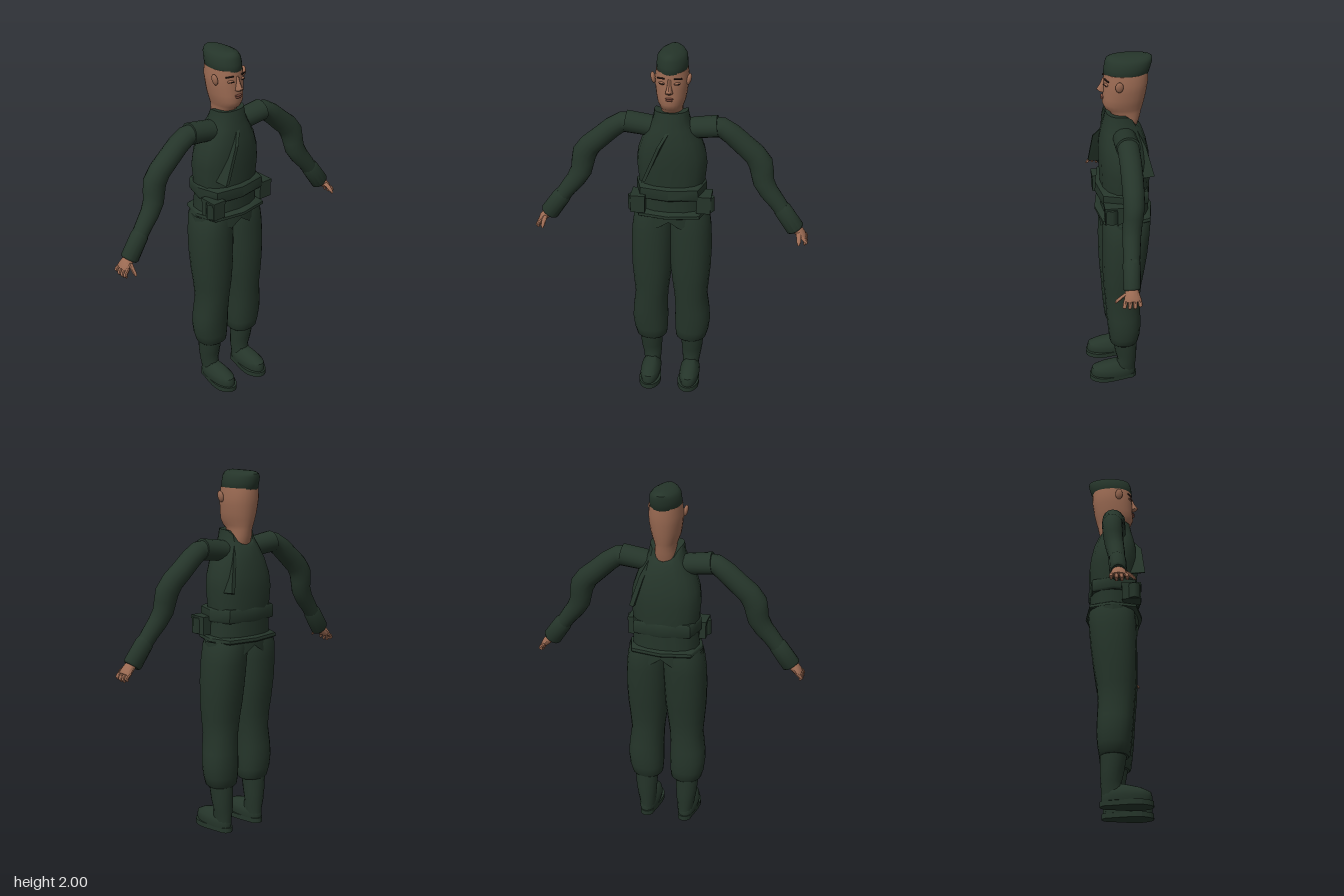
import * as THREE from 'three';
import { toCreasedNormals } from 'three/addons/utils/BufferGeometryUtils.js';

const mat = (name, color, side = THREE.FrontSide) => {
  const m = new THREE.MeshStandardMaterial({ color, side });
  m.name = name;
  return m;
};

// Skin a list of rings (equal point counts) into a closed surface
function skin(rings, capped = true, crease = 0.75) {
  const n = rings[0].length, pos = [], idx = [];
  rings.forEach(r => r.forEach(p => pos.push(p.x, p.y, p.z)));
  for (let i = 0; i < rings.length - 1; i++)
    for (let j = 0; j < n; j++) {
      const a = i * n + j, b = i * n + (j + 1) % n;
      idx.push(a, b, b + n, a, b + n, a + n);
    }
  if (capped)
    [0, rings.length - 1].forEach((r, end) => {
      const c = rings[r].reduce((s, p) => s.add(p), new THREE.Vector3()).divideScalar(n);
      const k = pos.length / 3;
      pos.push(c.x, c.y, c.z);
      for (let j = 0; j < n; j++) {
        const a = r * n + j, b = r * n + (j + 1) % n;
        end ? idx.push(k, a, b) : idx.push(k, b, a);
      }
    });
  const g = new THREE.BufferGeometry();
  g.setAttribute('position', new THREE.Float32BufferAttribute(pos, 3));
  g.setIndex(idx);
  return toCreasedNormals(g, crease);
}

// Upright body from sections [y, xMin, xMax, zFront, zBack, backDip], bottom to top
function body(sections, n = 24, power = 1, capped = true) {
  const f = v => Math.sign(v) * Math.abs(v) ** power;
  return skin(sections.map(([y, x0, x1, zf, zb, dip = 0]) =>
    Array.from({ length: n }, (_, j) => {
      const a = j / n * Math.PI * 2, c = Math.cos(a);
      return new THREE.Vector3((x0 + x1) / 2 + (x1 - x0) / 2 * f(Math.sin(a)),
        y - dip * Math.max(0, -c) ** 3, (zf + zb) / 2 + (zf - zb) / 2 * f(c));
    })), capped);
}
const round = (list, n, power) =>
  body(list.map(([y, r, ...z]) => [y, -r, r, ...z]), n, power);
const sided = (s, list, n, power) =>
  body(list.map(([y, a, b, ...z]) => s > 0 ? [y, a, b, ...z] : [y, -b, -a, ...z]), n, power);

// Limb along points [x, y, z, radius, depthRadius]
function limb(s, pts, n = 16) {
  const P = pts.map(p => new THREE.Vector3(p[0] * s, p[1], p[2]));
  const v = new THREE.Vector3(0, 0, 1);
  return skin(P.map((p, i) => {
    const d = P[Math.min(i + 1, P.length - 1)].clone().sub(P[Math.max(i - 1, 0)]).setZ(0).normalize();
    const u = v.clone().cross(d), r = pts[i][3], rz = pts[i][4] ?? r;
    return Array.from({ length: n }, (_, j) => {
      const a = j / n * Math.PI * 2;
      return p.clone().addScaledVector(u, r * Math.cos(a)).addScaledVector(v, rz * Math.sin(a));
    });
  }));
}

export function createModel() {
  const root = new THREE.Group();
  const cloth = mat('uniformGreen', 0x25352a);
  const clothOpen = mat('uniformGreenOpen', 0x25352a, THREE.DoubleSide);
  const flesh = mat('skin', 0x9c6b53);
  const lipTone = mat('lips', 0x7e4c3e);
  const dark = mat('browDark', 0x2a1c17);
  const add = (name, geo, m, x = 0, y = 0, z = 0) => {
    const o = new THREE.Mesh(geo, m);
    o.name = name;
    o.position.set(x, y, z);
    root.add(o);
    return o;
  };

  // Jacket, belt and hem
  add('jacket', round([[1.1, .185, .095, -.16], [1.2, .178, .095, -.16], [1.28, .18, .1, -.163],
    [1.38, .19, .105, -.167], [1.45, .182, .107, -.16], [1.53, .155, .103, -.143],
    [1.595, .118, .09, -.12], [1.64, .097, .078, -.105, .03], [1.69, .09, .067, -.085, .08]], 16, .85), cloth);
  add('belt', round([[1.205, .185, .118, -.163], [1.215, .192, .127, -.168],
    [1.27, .19, .125, -.168], [1.28, .18, .112, -.163]], 8, .6), cloth);
  add('hem', round([[1.095, .197, .118, -.175], [1.102, .203, .13, -.182],
    [1.118, .2, .13, -.18], [1.128, .185, .105, -.165]], 8, .6), cloth);

  // Pointed jacket skirt below the hem
  const skirt = [1, 0].map(top => Array.from({ length: 20 }, (_, j) => {
    const a = j / 20 * Math.PI * 2, k = top ? 1 : 0;
    return new THREE.Vector3(.208 * Math.sin(a), k ? 1.1 : (j % 2 ? 1.03 : 1.075), -.028 + .138 * Math.cos(a));
  }));
  add('jacketSkirt', skin([skirt[1], skirt[0]], false, .3), clothOpen);

  // Diagonal flaps, one on the chest and one on the back
  const flap = (name, a, b, c, d) => {
    const off = new THREE.Vector3(.022, .008, 0);
    const edge = [a, b, c, d].map(p => new THREE.Vector3(...p));
    add(name, skin([edge, edge.map(p => p.clone().add(off))], true, .2), clothOpen);
  };
  flap('chestFlap', [-.01, 1.6, .08], [-.06, 1.52, .13], [-.14, 1.325, .15], [-.14, 1.32, .05]);
  flap('backFlap', [.06, 1.6, -.09], [.1, 1.52, -.13], [.145, 1.37, -.17], [.145, 1.36, -.09]);

  // Belt pouches
  [[-.165, .075], [.185, .045]].forEach(([x, z]) => {
    const s = Math.sign(x);
    add('pouch', new THREE.BoxGeometry(.075, .095, .1), cloth, x, 1.18, z);
    const p = add('pouchEnd', new THREE.CylinderGeometry(.034, .034, .085, 6), cloth, x + s * .022, 1.18, z + .015);
    p.rotation.y = Math.PI / 6;
    add('pouchLid', new THREE.BoxGeometry(.08, .02, .106), cloth, x, 1.222, z);
  });

  for (const s of [1, -1]) {
    const side = s > 0 ? 'left' : 'right';

    // Trousers bloused over the boots
    add(side + 'Trouser', sided(s, [[.27, .035, .19, .055, -.09], [.28, .027, .2, .064, -.098],
      [.33, .022, .214, .07, -.107], [.4, .02, .222, .077, -.112], [.47, .022, .217, .082, -.11],
      [.57, .018, .204, .088, -.106], [.66, .006, .212, .096, -.113], [.75, -.004, .22, .1, -.128],
      [.87, -.01, .224, .102, -.145], [.98, -.015, .22, .1, -.156], [1.07, -.015, .208, .097, -.163],
      [1.11, -.01, .19, .09, -.155]], 20, .9), cloth);

    // Boots and soles
    add(side + 'BootShaft', sided(s, [[.04, .07, .155, .03, -.085], [.08, .066, .16, .035, -.085],
      [.13, .062, .168, .018, -.089], [.19, .058, .178, .032, -.091], [.29, .052, .187, .048, -.092]], 16), cloth);
    add(side + 'BootFoot', sided(s, [[.03, .06, .168, .172, -.085], [.055, .056, .172, .175, -.086],
      [.08, .06, .168, .168, -.08], [.102, .075, .153, .125, -.06], [.118, .088, .14, .06, -.04]], 20, .9), cloth);
    const sole = new THREE.Shape();
    sole.moveTo(-.035, -.07);
    sole.quadraticCurveTo(0, -.115, .035, -.07);
    sole.bezierCurveTo(.045, 0, .07, .06, .06, .12);
    sole.quadraticCurveTo(.04, .182, 0, .182);
    sole.quadraticCurveTo(-.04, .182, -.06, .12);
    sole.bezierCurveTo(-.07, .06, -.045, 0, -.035, -.07);
    const soleGeo = new THREE.ExtrudeGeometry(sole, { depth: .028, bevelEnabled: false, curveSegments: 6 });
    soleGeo.rotateX(Math.PI / 2);
    add(side + 'Sole', soleGeo, cloth, s * .112, .032, 0);

    // Sleeves
    add(side + 'ShoulderCap', limb(s, [[.06, 1.575, -.02, .052, .06], [.14, 1.585, -.02, .056, .062],
      [.245, 1.598, -.02, .058, .063]]), cloth);
    add(side + 'Sleeve', limb(s, [[.2, 1.597, -.02, .05, .056], [.265, 1.592, -.02, .053, .056],
      [.32, 1.555, -.022, .056, .056], [.385, 1.497, -.022, .058, .056], [.44, 1.45, -.02, .061, .055],
      [.474, 1.4, -.018, .066, .054], [.484, 1.35, -.014, .062, .052], [.493, 1.3, -.008, .058, .05],
      [.525, 1.245, 0, .052, .047], [.57, 1.19, .006, .046, .044], [.62, 1.12, .012, .042, .04]]), cloth);
    add(side + 'Cuff', limb(s, [[.592, 1.162, .01, .044, .04], [.603, 1.146, .011, .05, .045],
      [.674, 1.045, .018, .052, .045], [.68, 1.037, .018, .044, .038]], 12), cloth);

    // Hands
    add(side + 'Palm', limb(s, [[.66, 1.06, .018, .024, .028], [.69, 1.035, .02, .026, .035],
      [.715, 1.01, .02, .022, .042], [.726, .998, .02, .014, .038]], 12), flesh);
    for (let i = 0; i < 4; i++) {
      const z = -.013 + i * .022, drop = [.01, 0, 0, .006][i];
      add(side + 'Finger', limb(s, [[.71, 1.01, z, .01], [.733, .992, z * 1.15, .011],
        [.738, .975 + drop, z * 1.2, .01], [.729, .963 + drop, z * 1.2, .006]], 8), flesh);
    }
    add(side + 'Thumb', limb(s, [[.69, 1.035, .04, .013], [.698, 1.018, .068, .013],
      [.7, .998, .092, .011], [.7, .985, .102, .006]], 8), flesh);

    // Ears, eyes and brows
    const ear = new THREE.SphereGeometry(1, 12, 8);
    ear.scale(.012, .031, .021);
    add(side + 'Ear', ear, flesh, s * .093, 1.862, .005).rotation.z = -s * .2;
    const lid = new THREE.SphereGeometry(1, 12, 8);
    lid.scale(.018, .008, .007);
    add(side + 'Eyelid', lid, flesh, s * .04, 1.856, .067).rotation.y = s * .4;
    add(side + 'Eye', new THREE.BoxGeometry(.028, .004, .006), dark, s * .04, 1.855, .073).rotation.y = s * .4;
    const brow = add(side + 'Brow', new THREE.BoxGeometry(.042, .006, .007), dark, s * .045, 1.882, .066);
    brow.rotation.set(0, s * .45, -s * .08);
  }

  // Head with nose and mouth
  add('head', round([[1.61, .056, .03, -.098], [1.66, .058, .035, -.113], [1.69, .056, .045, -.118],
    [1.71, .062, .07, -.124], [1.74, .073, .083, -.131], [1.775, .08, .081, -.139], [1.82, .086, .08, -.146],
    [1.86, .089, .077, -.152], [1.91, .082, .074, -.152]], 24, .92), flesh);
  add('nose', round([[1.8, .01, .088, .06], [1.808, .02, .103, .06], [1.818, .018, .112, .06],
    [1.845, .011, .094, .06], [1.88, .008, .08, .06]], 10), flesh);
  [[1.778, .022, .005], [1.768, .018, .006]].forEach(([y, w, h]) => {
    const lip = new THREE.SphereGeometry(1, 12, 8);
    lip.scale(w, h, .011);
    add('lip', lip, lipTone, 0, y, .081);
  });

  // Cap with a lower band and a centre fold
  add('cap', round([[1.9, .079, .074, -.15], [1.905, .082, .077, -.155], [1.935, .081, .075, -.164],
    [1.968, .077, .069, -.173], [1.985, .063, .063, -.172], [1.995, .042, .05, -.16],
    [2, .012, .02, -.14]], 24, 1), cloth);
  return root;
}
